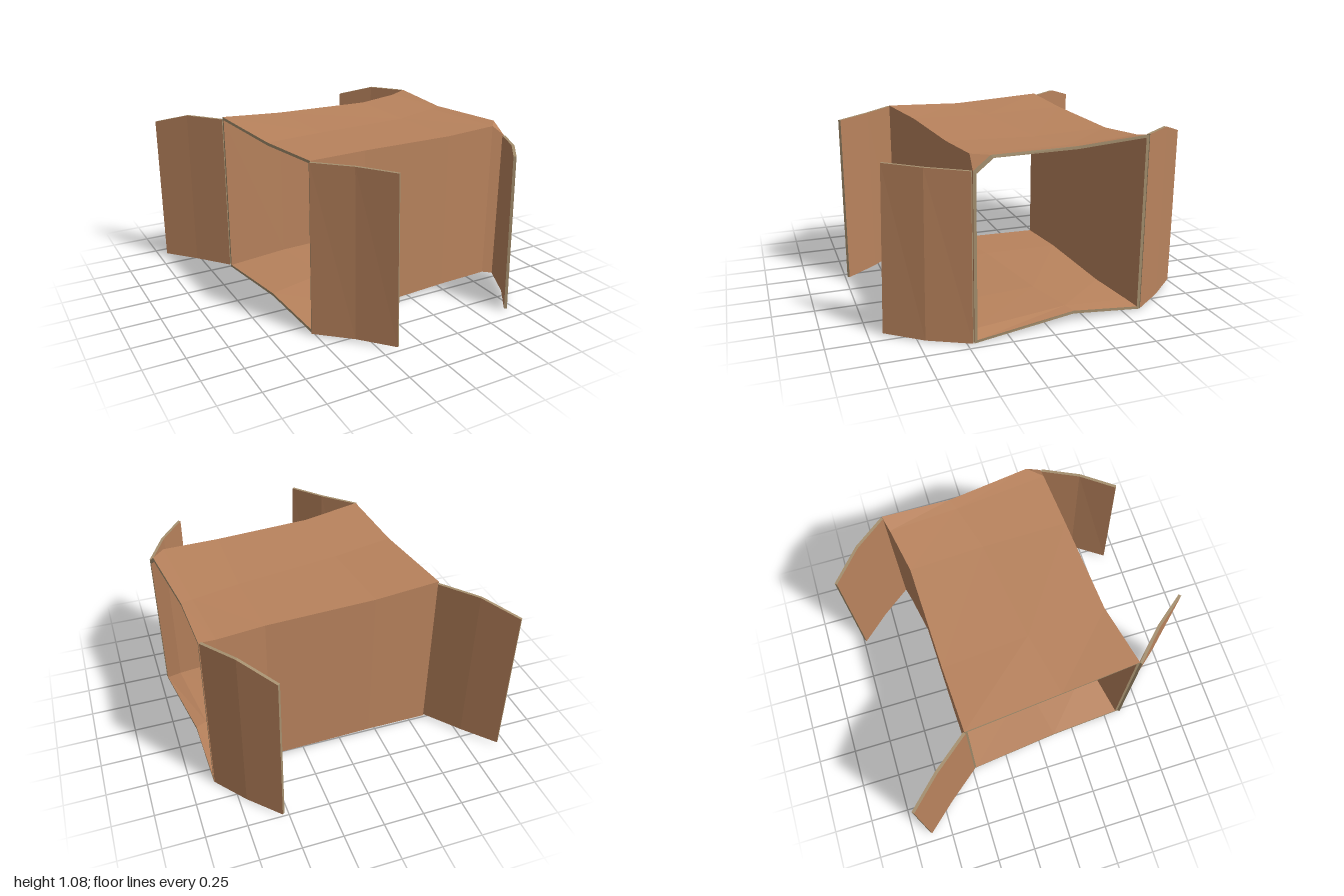
import * as THREE from 'three';

const T = 0.018; // board thickness

// Collects quads into a board surface and a cut-edge surface
function sheetBuilder() {
  const lists = [[], []];
  const tri = (list, a, b, c) => {
    const n = b.clone().sub(a).cross(c.clone().sub(a));
    if (n.length() > 1e-8) for (const p of [a, b, c]) list.push(p.x, p.y, p.z);
  };
  return {
    quad(kind, a, b, c, d) {
      tri(lists[kind], a, b, c);
      tri(lists[kind], a, c, d);
    },
    mesh(name, materials) {
      const g = new THREE.BufferGeometry();
      g.setAttribute('position', new THREE.Float32BufferAttribute([...lists[0], ...lists[1]], 3));
      g.addGroup(0, lists[0].length / 3, 0);
      g.addGroup(lists[0].length / 3, lists[1].length / 3, 1);
      g.computeVertexNormals();
      const m = new THREE.Mesh(g, materials);
      m.name = name;
      return m;
    },
  };
}

// Hollow sagging box sleeve, open at both x ends
function makeSleeve(materials) {
  // each line runs from the left end to the right end: [x, y, z]
  const backXZ = [[-0.61, -0.49], [-0.2, -0.51], [0.47, -0.53], [0.76, -0.585], [0.86, -0.61]];
  const midXZ = [[-0.55, 0.11], [-0.15, 0.03], [0.5, -0.06], [0.8, -0.145], [0.87, -0.17]];
  const frontXZ = [[-0.51, 0.6], [-0.12, 0.52], [0.5, 0.48], [0.86, 0.45], [0.95, 0.46]];
  const topEdgeXZ = [...frontXZ.slice(0, 4), [0.94, 0.36]]; // crushed corner
  const lines = [
    [backXZ, [1.08, 1.055, 1.045, 1.06, 1.08], -1, 1],
    [midXZ, [1.055, 1.045, 1.032, 1.043, 1.05], -1, 0],
    [topEdgeXZ, [1.075, 1.055, 1.045, 1.055, 1.06], -1, -1],
    [frontXZ, [1.075, 1.055, 1.045, 1.055, 0.985], -1, -1],
    [frontXZ, [0.003, 0.03, 0.035, 0.025, 0], 1, -1],
    [midXZ, [0.035, 0.05, 0.06, 0.052, 0.045], 1, 0],
    [backXZ, [0.003, 0.025, 0.03, 0.015, 0.003], 1, 1],
  ];
  const outer = lines.map(([xz, ys]) => xz.map(([x, z], i) => new THREE.Vector3(x, ys[i], z)));
  const inner = outer.map((line, j) =>
    line.map((p) => p.clone().add(new THREE.Vector3(0, lines[j][2] * T, lines[j][3] * T))));
  const b = sheetBuilder();
  const last = 4;
  for (let j = 0; j < lines.length; j++) {
    const k = (j + 1) % lines.length;
    for (let i = 0; i < last; i++) {
      b.quad(0, outer[j][i], outer[k][i], outer[k][i + 1], outer[j][i + 1]);
      b.quad(0, inner[j][i + 1], inner[k][i + 1], inner[k][i], inner[j][i]);
    }
    // cut rims at both openings
    b.quad(1, outer[j][last], outer[k][last], inner[k][last], inner[j][last]);
    b.quad(1, inner[j][0], inner[k][0], outer[k][0], outer[j][0]);
  }
  return b.mesh('boxSleeve', materials);
}

// Upright bent flap; each station is [x, z, bottom, top], lean shifts the bottom of the tip
function makeFlap(name, stations, lean, materials) {
  const first = stations[0], end = stations[stations.length - 1];
  const dir = new THREE.Vector3(end[0] - first[0], 0, end[1] - first[1]).normalize();
  const off = new THREE.Vector3(dir.z, 0, -dir.x).multiplyScalar(T / 2);
  const loops = stations.map(([x, z, lo, hi], i) => {
    const f = i / (stations.length - 1);
    const bottom = new THREE.Vector3(x + lean[0] * f, lo, z + lean[1] * f);
    const top = new THREE.Vector3(x, hi, z);
    return [
      bottom.clone().add(off), bottom.clone().sub(off),
      top.clone().sub(off), top.clone().add(off),
    ];
  });
  const b = sheetBuilder();
  for (let i = 0; i < loops.length - 1; i++) {
    for (let j = 0; j < 4; j++) {
      const k = (j + 1) % 4;
      b.quad(j % 2 ? 0 : 1, loops[i][k], loops[i][j], loops[i + 1][j], loops[i + 1][k]);
    }
  }
  const [s, e] = [loops[0], loops[loops.length - 1]];
  b.quad(1, s[0], s[1], s[2], s[3]);
  b.quad(1, e[3], e[2], e[1], e[0]);
  return b.mesh(name, materials);
}

export function createModel() {
  const group = new THREE.Group();
  group.name = 'openCardboardBox';
  const board = new THREE.MeshStandardMaterial({ color: 0xb9835d });
  board.name = 'cardboard';
  const edge = new THREE.MeshStandardMaterial({ color: 0xa58f6e });
  edge.name = 'cutEdge';
  const materials = [board, edge];

  group.add(makeSleeve(materials));

  // four side flaps hinged on the vertical corners
  const flaps = [
    ['backRightFlap', [[-0.61, -0.49, 0.02, 1.065], [-0.78, -0.7, 0.02, 1.065], [-0.945, -0.885, 0.02, 1.0]], [0, 0]],
    ['backLeftFlap', [[0.85, -0.61, 0.005, 1.08], [0.7, -0.805, 0.005, 1.08], [0.53, -0.99, 0.01, 1.01]], [0, 0]],
    ['frontRightFlap', [[-0.515, 0.605, 0.01, 1.07], [-0.33, 0.785, 0.015, 1.07], [-0.175, 0.98, 0.02, 1.065]], [0.02, 0.005]],
    ['frontLeftFlap', [[0.945, 0.465, 0.002, 0.985], [0.83, 0.69, 0.005, 0.995], [0.68, 0.885, 0.012, 1.0]], [0, 0.03]],
  ];
  for (const [name, stations, lean] of flaps) group.add(makeFlap(name, stations, lean, materials));
  return group;
}
